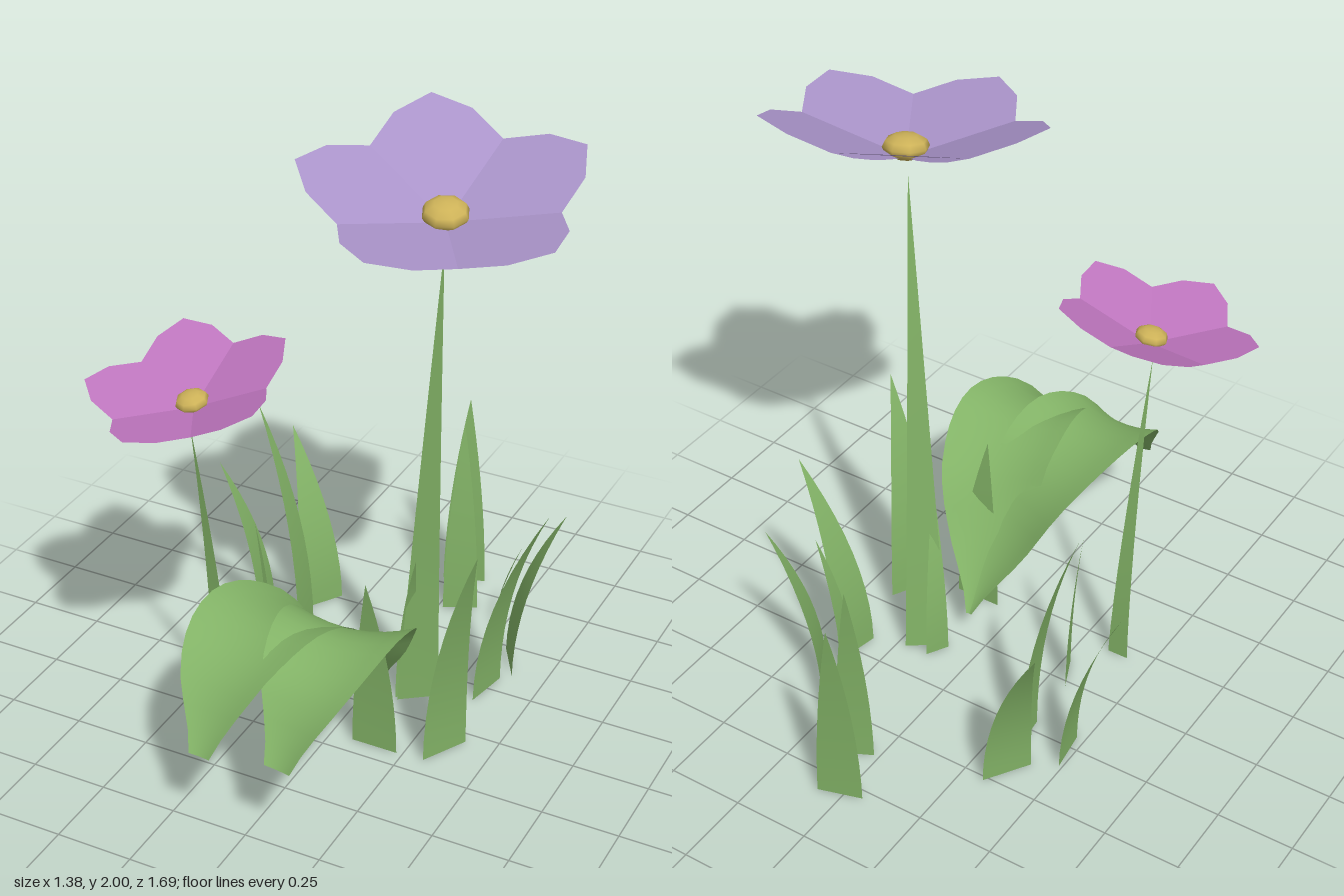
import * as THREE from 'three';

const mat = (name, color, side = THREE.DoubleSide) => {
  const m = new THREE.MeshStandardMaterial({ color, side });
  m.name = name;
  return m;
};

// Smooth sheet through rows of points; at(u, v) returns a Vector3
function sheet(rows, cols, at) {
  const pos = [], idx = [];
  for (let i = 0; i <= rows; i++) {
    for (let j = 0; j <= cols; j++) pos.push(...at(i / rows, j / cols).toArray());
  }
  const w = cols + 1;
  for (let i = 0; i < rows; i++) {
    for (let j = 0; j < cols; j++) {
      const a = i * w + j;
      idx.push(a, a + 1, a + w, a + 1, a + w + 1, a + w);
    }
  }
  const g = new THREE.BufferGeometry();
  g.setAttribute('position', new THREE.Float32BufferAttribute(pos, 3));
  g.setIndex(idx);
  g.computeVertexNormals();
  return g;
}

// Flat blade: ground edge a-b ([x, z]) rising to tip [x, y, z]
function bladeGeometry(a, b, tip, taper, bend) {
  return sheet(10, 1, (t, v) => {
    const w = (1 - Math.pow(t, taper)) * (v - 0.5);
    const k = Math.pow(t, bend);
    const mx = (a[0] + b[0]) / 2, mz = (a[1] + b[1]) / 2;
    return new THREE.Vector3(
      mx + (tip[0] - mx) * k + (b[0] - a[0]) * w,
      tip[1] * t,
      mz + (tip[2] - mz) * k + (b[1] - a[1]) * w);
  });
}

// Broad arching leaf: spine of points, half width along it, raised edges
function leafGeometry(spine, widths) {
  const curve = new THREE.CatmullRomCurve3(spine.map(p => new THREE.Vector3(...p)));
  const width = new THREE.SplineCurve(widths.map((w, i) => new THREE.Vector2(i, w)));
  return sheet(20, 8, (u, v) => {
    const p = curve.getPoint(u), d = curve.getTangent(u);
    const side = new THREE.Vector3(d.z, 0, -d.x).normalize();
    const up = new THREE.Vector3().crossVectors(d, side).normalize();
    const s = v * 2 - 1, w = Math.max(width.getPoint(u).y, 0.005);
    return p.addScaledVector(side, s * w).addScaledVector(up, 0.2 * w * s * s);
  });
}

// Tilted five-petal flower with a squashed golden centre
function flower(name, petalMat, centreMat, at, normal, scale) {
  const g = new THREE.Group();
  g.name = name;
  const half = [[0.006, 0.014], [0.07, 0.085], [0.14, 0.145], [0.21, 0.185], [0.28, 0.192], [0.394, 0.115]];
  const shape = new THREE.Shape([
    ...half.map(([y, x]) => new THREE.Vector2(x, y)),
    new THREE.Vector2(0, 0.459),
    ...half.slice().reverse().map(([y, x]) => new THREE.Vector2(-x, y)),
  ]);
  for (let i = 0; i < 5; i++) {
    const geo = new THREE.ShapeGeometry(shape);
    geo.rotateX(Math.PI / 2 - 0.325);
    geo.rotateY(-0.09 + i * Math.PI * 2 / 5);
    const petal = new THREE.Mesh(geo, petalMat);
    petal.name = 'petal';
    g.add(petal);
  }
  const centre = new THREE.Mesh(new THREE.SphereGeometry(0.071, 8, 6), centreMat);
  centre.name = 'flowerCentre';
  centre.scale.y = 0.55;
  centre.position.y = 0.032;
  g.add(centre);
  g.position.set(...at);
  g.quaternion.setFromUnitVectors(new THREE.Vector3(0, 1, 0), new THREE.Vector3(...normal).normalize());
  g.scale.setScalar(scale);
  return g;
}

export function createModel() {
  const model = new THREE.Group();
  model.name = 'wildflowers';
  const green = mat('leafGreen', 0x82b266);
  const purple = mat('petalPurple', 0xaa94ca);
  const pink = mat('petalPink', 0xbf76bf);
  const gold = mat('centreGold', 0xcdb258, THREE.FrontSide);
  const add = (name, geo) => {
    const m = new THREE.Mesh(geo, green);
    m.name = name;
    model.add(m);
  };

  // Flowers
  model.add(flower('tallFlower', purple, gold, [0.277, 1.762, 0.005], [0.087, 1, 0.198], 1));
  model.add(flower('shortFlower', pink, gold, [-0.376, 1.163, 0.33], [-0.118, 1, 0.192], 0.735));

  // Stems: slim flat spikes
  add('tallStem', bladeGeometry([0.11, -0.063], [0.22, -0.143], [0.285, 1.7, 0.025], 1, 1.15));
  add('shortStem', bladeGeometry([-0.42, 0.2], [-0.35, 0.2], [-0.382, 1.1, 0.345], 1.1, 1.5));

  // Grass blades: two ground corners and the tip
  const blades = [
    [[-0.058, -0.78], [0.08, -0.822], [0, 0.7, -0.844]],
    [[0.018, -0.61], [0.124, -0.662], [0.053, 0.7, -0.68]],
    [[-0.324, -0.516], [-0.413, -0.378], [-0.524, 0.615, -0.547]],
    [[-0.489, -0.338], [-0.471, -0.2], [-0.636, 0.6, -0.244]],
    [[-0.342, -0.338], [-0.329, -0.209], [-0.493, 0.85, -0.26]],
    [[0.311, -0.484], [0.39, -0.35], [0.507, 0.585, -0.471]],
    [[0.284, -0.404], [0.31, -0.3], [0.41, 0.51, -0.347]],
    [[-0.32, -0.022], [-0.272, 0.09], [-0.33, 0.625, 0.067]],
    [[0.32, 0.185], [0.4, 0.04], [0.485, 0.8, 0.185]],
    [[0.33, -0.17], [0.36, -0.32], [0.535, 0.715, -0.25]],
    [[0.1, -0.07], [0.14, -0.14], [0.2, 0.6, 0]],
    [[0.075, 0.19], [0.23, 0.19], [0.14, 0.63, 0.23]],
  ];
  for (const [a, b, tip] of blades) add('grassBlade', bladeGeometry(a, b, tip, 1.8, 2));

  // Two broad arching leaves
  add('leftLeaf', leafGeometry(
    [[0.07, 0.1, 0.01], [0.03, 0.33, 0.17], [-0.02, 0.52, 0.32], [-0.06, 0.59, 0.5], [-0.085, 0.53, 0.68], [-0.095, 0.32, 0.835]],
    [0.01, 0.125, 0.185, 0.2, 0.15, 0.035]));
  add('rightLeaf', leafGeometry(
    [[0.07, 0.1, 0.01], [0.11, 0.33, 0.17], [0.15, 0.52, 0.31], [0.165, 0.59, 0.47], [0.165, 0.53, 0.65], [0.145, 0.33, 0.8]],
    [0.01, 0.125, 0.18, 0.19, 0.145, 0.045]));
  return model;
}
